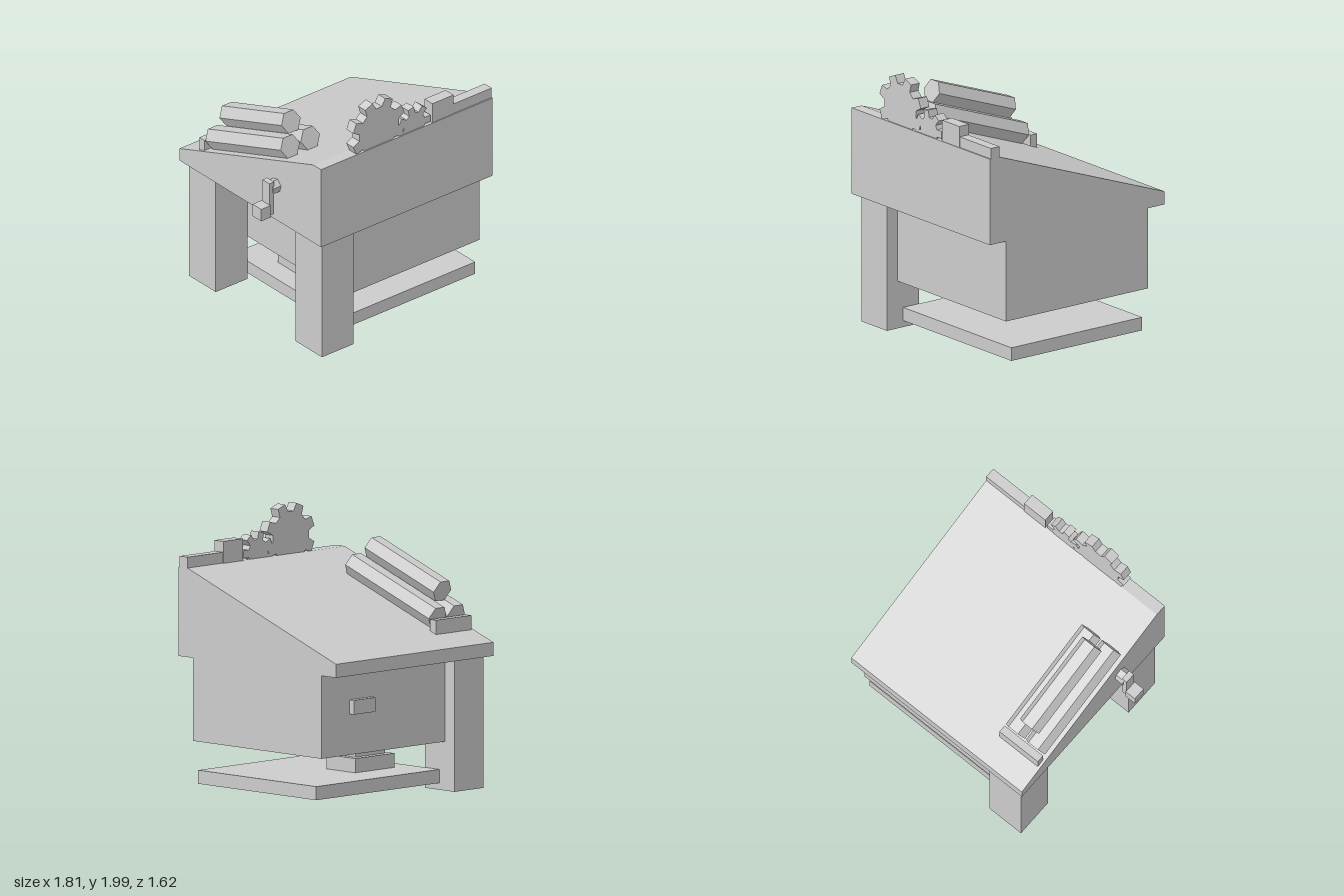
import * as THREE from 'three';

const grey = new THREE.MeshStandardMaterial({ color: 0xcccccc });
grey.name = 'grey';

export function createModel() {
  const model = new THREE.Group();
  model.name = 'slopedWorkDesk';

  const add = (name, geometry) => {
    const mesh = new THREE.Mesh(geometry, grey);
    mesh.name = name;
    model.add(mesh);
    return mesh;
  };
  // Box given by its limits on each axis
  const box = (name, [x0, x1], [y0, y1], [z0, z1]) => {
    const mesh = add(name, new THREE.BoxGeometry(x1 - x0, y1 - y0, z1 - z0));
    mesh.position.set((x0 + x1) / 2, (y0 + y1) / 2, (z0 + z1) / 2);
    return mesh;
  };
  const hexPrism = (radius, length) =>
    new THREE.CylinderGeometry(radius, radius, length, 6).toNonIndexed();
  const flat = (geometry) => {
    geometry.computeVertexNormals();
    return geometry;
  };

  // Sloped desk top: side profile (z, y) extruded along x
  const profile = [[0.81, 0.97], [0.81, 1.625], [0.72, 1.625], [-0.81, 1.07], [-0.81, 0.97]];
  const deskShape = new THREE.Shape(profile.map(([z, y]) => new THREE.Vector2(-z, y)));
  const desk = new THREE.ExtrudeGeometry(deskShape, { depth: 1.62, bevelEnabled: false });
  desk.rotateY(Math.PI / 2);
  add('slopedDesk', desk).position.x = -0.72;

  // Cabinet with handle, and the legs on the right
  box('cabinet', [-0.37, 0.9], [0.36, 0.97], [-0.66, 0.66]);
  box('cabinetHandle', [0.39, 0.61], [0.66, 0.765], [-0.705, -0.66]);
  box('frontLeg', [-0.67, -0.37], [0, 0.97], [0.46, 0.76]);
  box('backLeg', [-0.67, -0.37], [0, 0.97], [-0.76, -0.455]);

  // Low shelf with two stacked blocks
  box('shelf', [-0.37, 0.9], [0.05, 0.15], [-0.605, 0.61]);
  box('lowerBlock', [-0.21, 0.19], [0.15, 0.255], [-0.3, 0]);
  box('upperBlock', [-0.165, 0.14], [0.255, 0.335], [-0.25, 0.05]);

  // Blocks on the front ledge
  box('tallLedgeBlock', [0.335, 0.535], [1.6, 1.785], [0.715, 0.805]);
  box('longLedgeBlock', [0.535, 0.9], [1.6, 1.705], [0.72, 0.8]);

  // Gears: each tooth is a trapezoid, angles in degrees clockwise from the top
  const gear = (name, x, y, teeth, tip, root, tipHalf, rootHalf, start) => {
    const points = [];
    for (let i = 0; i < teeth; i++) {
      const mid = start + (i * 360) / teeth;
      for (const [r, d] of [[root, -rootHalf], [tip, -tipHalf], [tip, tipHalf], [root, rootHalf]]) {
        const a = THREE.MathUtils.degToRad(mid + d);
        points.push(new THREE.Vector2(r * Math.sin(a), r * Math.cos(a)));
      }
    }
    const geometry = new THREE.ExtrudeGeometry(new THREE.Shape(points), { depth: 0.08, bevelEnabled: false });
    add(name, geometry).position.set(x, y, 0.72);
  };
  gear('largeGear', -0.165, 1.75, 8, 0.249, 0.188, 8.9, 14, 22.5);
  gear('smallGear', 0.17, 1.667, 7, 0.153, 0.1, 10.5, 16, 39);

  // Stack of hexagonal rods lying on the slope
  const rod = (name, x, y, z, length) => {
    const geometry = hexPrism(0.09, length);
    geometry.rotateY(Math.PI / 2);
    geometry.rotateX(Math.PI / 2);
    // keep corners at the sides and flats above and below
    geometry.computeBoundingBox();
    if (geometry.boundingBox.max.x < 0.085) geometry.rotateZ(Math.PI / 6);
    const mesh = add(name, flat(geometry));
    mesh.rotation.x = THREE.MathUtils.degToRad(-19.9);
    mesh.position.set(x, y, z);
  };
  rod('lowerRodRight', -0.615, 1.41, -0.1, 0.915);
  rod('lowerRodLeft', -0.425, 1.41, -0.1, 0.915);
  rod('upperRod', -0.52, 1.563, -0.13, 0.755);
  box('rodStop', [-0.7, -0.335], [1.12, 1.25], [-0.605, -0.545]);

  // Side crank
  const shaft = hexPrism(0.055, 0.09);
  shaft.rotateY(Math.PI / 12);
  shaft.rotateZ(Math.PI / 2);
  add('crankShaft', flat(shaft)).position.set(-0.745, 1.267, 0.3);
  box('crankArm', [-0.82, -0.775], [1.06, 1.33], [0.26, 0.34]);
  box('crankGrip', [-0.905, -0.815], [1.05, 1.15], [0.25, 0.35]);

  return model;
}
